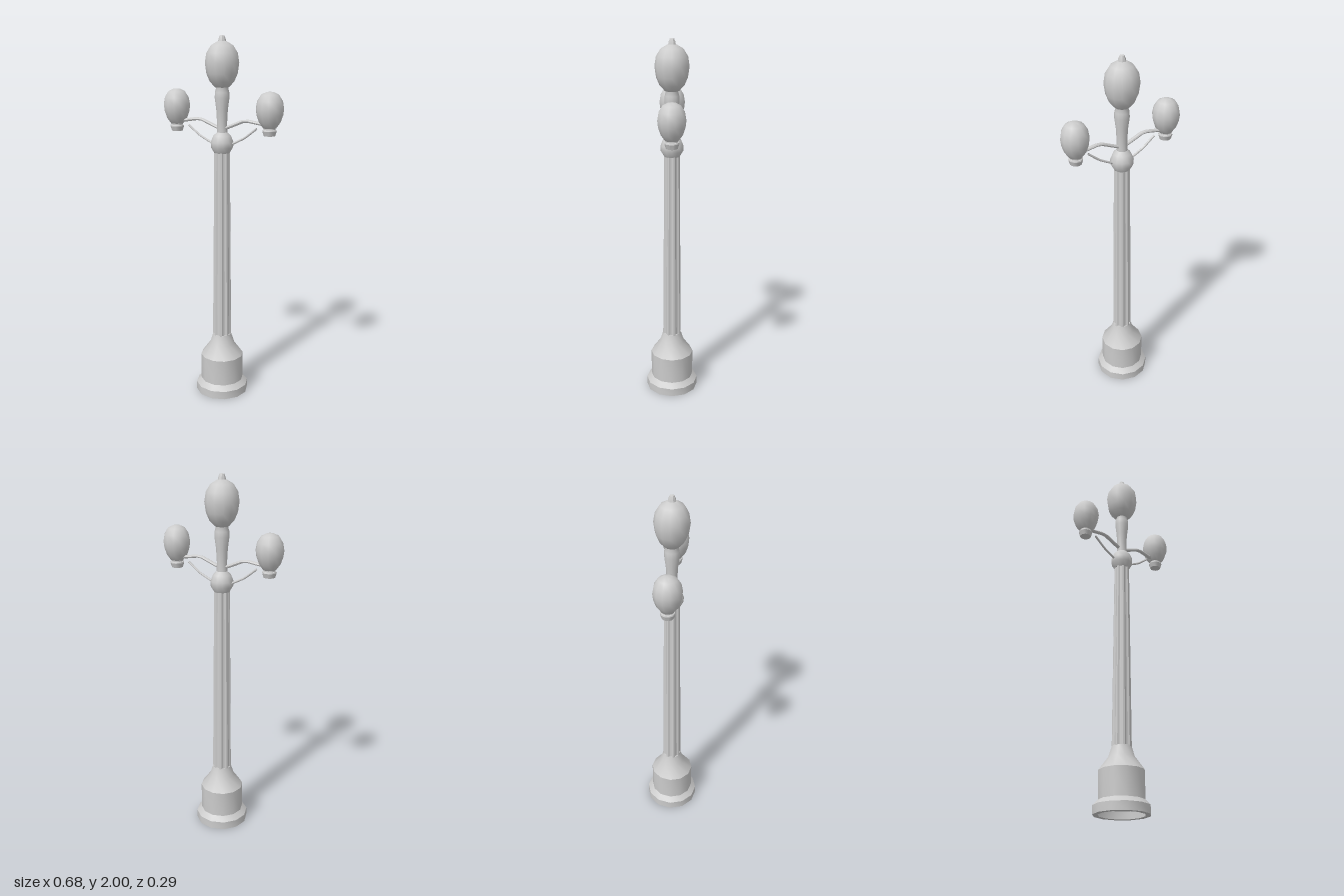
import * as THREE from 'three';
import { toCreasedNormals } from 'three/addons/utils/BufferGeometryUtils.js';

const grey = new THREE.MeshStandardMaterial({ color: 0xcccccc, side: THREE.DoubleSide });

function part(name, geometry, crease = 0.6) {
  const mesh = new THREE.Mesh(toCreasedNormals(geometry, crease), grey);
  mesh.name = name;
  return mesh;
}

// Turned part from [radius, height] pairs, bottom to top
function turned(name, profile, sides = 12, turn = 0, crease = 0.6) {
  const points = profile.map(([r, y]) => new THREE.Vector2(r, y));
  return part(name, new THREE.LatheGeometry(points, sides, turn), crease);
}

// Bar with straight segments, flattened slightly in height
function bar(name, points, radius, flat) {
  const path = new THREE.CurvePath();
  const v = points.map(([x, y]) => new THREE.Vector3(x, y / flat, 0));
  for (let i = 1; i < v.length; i++) path.add(new THREE.LineCurve3(v[i - 1], v[i]));
  const geometry = new THREE.TubeGeometry(path, 8, radius, 8, false);
  // turn the octagon so that flats face up and sideways
  geometry.scale(1, flat, 1);
  return part(name, geometry, 0.5);
}

// Tapered shaft with shallow flutes: push every other pair of columns inward
function flutedShaft() {
  const sides = 32;
  const geometry = new THREE.CylinderGeometry(0.042, 0.052, 1.06, sides, 1, true, Math.PI / 16);
  const pos = geometry.attributes.position;
  for (let i = 0; i < pos.count; i++) {
    const column = i % (sides + 1);
    const k = column % 4 < 2 ? 1 : 0.86;
    pos.setXYZ(i, pos.getX(i) * k, pos.getY(i), pos.getZ(i) * k);
  }
  geometry.translate(0, 0.87, 0);
  return part('flutedShaft', geometry, 0.3);
}

export function createModel() {
  const model = new THREE.Group();
  model.name = 'streetLamp';

  // Hollow stepped base
  model.add(turned('base', [
    [0.12, 0], [0.147, 0], [0.147, 0.045], [0.122, 0.07], [0.12, 0.072], [0.12, 0.22],
    [0.07, 0.288], [0.052, 0.345], [0.03, 0.345],
  ]));
  model.add(flutedShaft());

  // Collar and turned neck under the main globe
  model.add(turned('collar', [
    [0, 1.39], [0.042, 1.39], [0.06, 1.42], [0.061, 1.448], [0.047, 1.482], [0.028, 1.5],
  ], 12, 0, 0.9));
  model.add(turned('neck', [
    [0.028, 1.5], [0.027, 1.55], [0.031, 1.62], [0.039, 1.68], [0.038, 1.71],
    [0.031, 1.735], [0.035, 1.745], [0, 1.745],
  ], 12, 0, 0.9));

  // Main globe with finial
  model.add(turned('mainGlobe', [
    [0, 1.733], [0.037, 1.735], [0.065, 1.765], [0.082, 1.805], [0.09, 1.86],
    [0.082, 1.91], [0.058, 1.948], [0.022, 1.969], [0, 1.969],
  ], 12, 0, 0.9));
  model.add(turned('finial', [
    [0.022, 1.965], [0.018, 1.982], [0.012, 1.996], [0, 2],
  ], 8, Math.PI / 8));

  // Side lamps with their brackets
  for (const side of [1, -1]) {
    const arm = new THREE.Group();
    arm.name = side > 0 ? 'leftArm' : 'rightArm';
    arm.add(bar('upperArm', [[0, 1.515], [0.04, 1.53], [0.13, 1.568], [0.245, 1.55]], 0.0115, 0.75));
    arm.add(bar('lowerBrace', [[0.04, 1.437], [0.065, 1.443], [0.13, 1.476], [0.197, 1.529]], 0.006, 1));

    const lamp = new THREE.Group();
    lamp.name = 'sideLamp';
    lamp.position.x = 0.268;
    lamp.add(turned('globe', [
      [0, 1.533], [0.034, 1.535], [0.056, 1.565], [0.069, 1.603], [0.073, 1.635],
      [0.066, 1.674], [0.046, 1.706], [0.02, 1.719], [0, 1.72],
    ], 12, Math.PI / 12, 0.9));
    lamp.add(turned('cup', [
      [0, 1.495], [0.03, 1.495], [0.038, 1.52], [0.036, 1.526], [0.031, 1.528], [0.031, 1.536],
    ], 12, Math.PI / 12));
    arm.add(lamp);
    arm.rotation.y = side > 0 ? 0 : Math.PI;
    model.add(arm);
  }
  return model;
}
